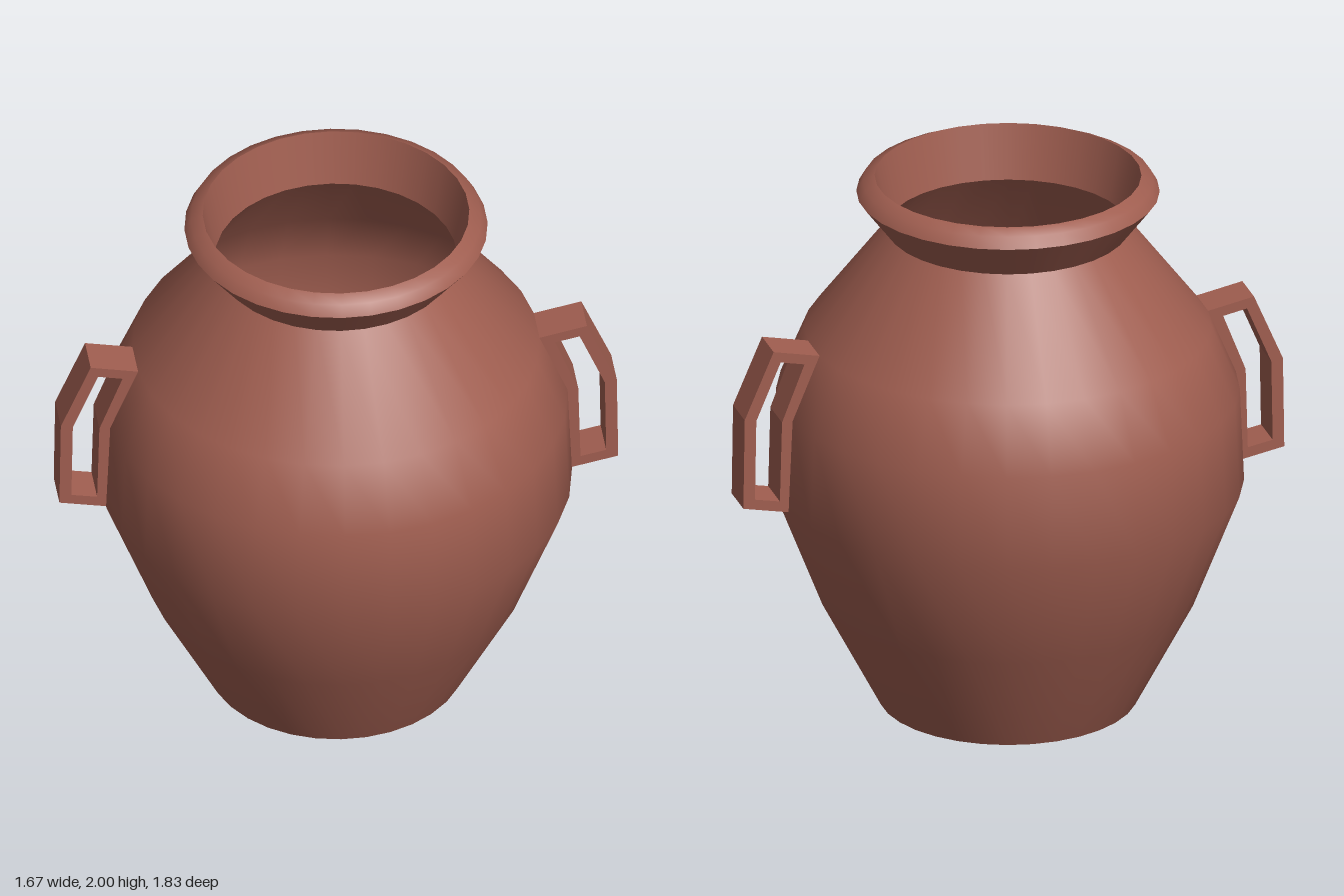
import * as THREE from 'three';

const SIDES = 32;

export function createModel() {
  const group = new THREE.Group();
  const clay = new THREE.MeshStandardMaterial({ color: 0xa05e50, side: THREE.DoubleSide });

  const add = (name, geometry) => {
    const mesh = new THREE.Mesh(geometry, clay);
    mesh.name = name;
    group.add(mesh);
    return mesh;
  };
  const turned = (name, profile) =>
    add(name, new THREE.LatheGeometry(profile.map(([r, y]) => new THREE.Vector2(r, y)), SIDES));

  // Hollow pot, split into separate bands wherever the profile has a hard edge
  turned('body', [[0.46, 0], [0.67, 0.4], [0.837, 0.83], [0.822, 1.18], [0.722, 1.42], [0.43, 1.8]]);
  turned('neck', [[0.43, 1.8], [0.538, 1.94]]);
  turned('rim', [[0.538, 1.94], [0.515, 1.98], [0.473, 2]]);
  turned('throat', [[0.473, 2], [0.43, 1.8]]);

  // Flat bottom, visible from inside and below
  add('base', new THREE.CircleGeometry(0.46, SIDES).rotateX(Math.PI / 2));

  // Handle: bent closed frame, drawn as radius against height
  const points = (list) => list.map(([r, y]) => new THREE.Vector2(r, y));
  const frame = new THREE.Shape(points([
    [0.825, 0.83], [1.0, 0.865], [0.995, 1.205], [0.888, 1.455], [0.718, 1.42], [0.812, 1.17],
  ]));
  frame.holes.push(new THREE.Path(points([
    [0.865, 0.877], [0.857, 1.18], [0.774, 1.394], [0.862, 1.412], [0.952, 1.197], [0.957, 0.895],
  ])));
  const width = 0.146;
  const handle = new THREE.ExtrudeGeometry(frame, { depth: width, bevelEnabled: false });
  handle.translate(0, 0, -width / 2);

  // Two handles on opposite sides, set off the main axes
  const angle = Math.atan2(-0.882, -0.472);
  add('frontHandle', handle).rotation.y = angle;
  add('backHandle', handle).rotation.y = angle + Math.PI;

  return group;
}
